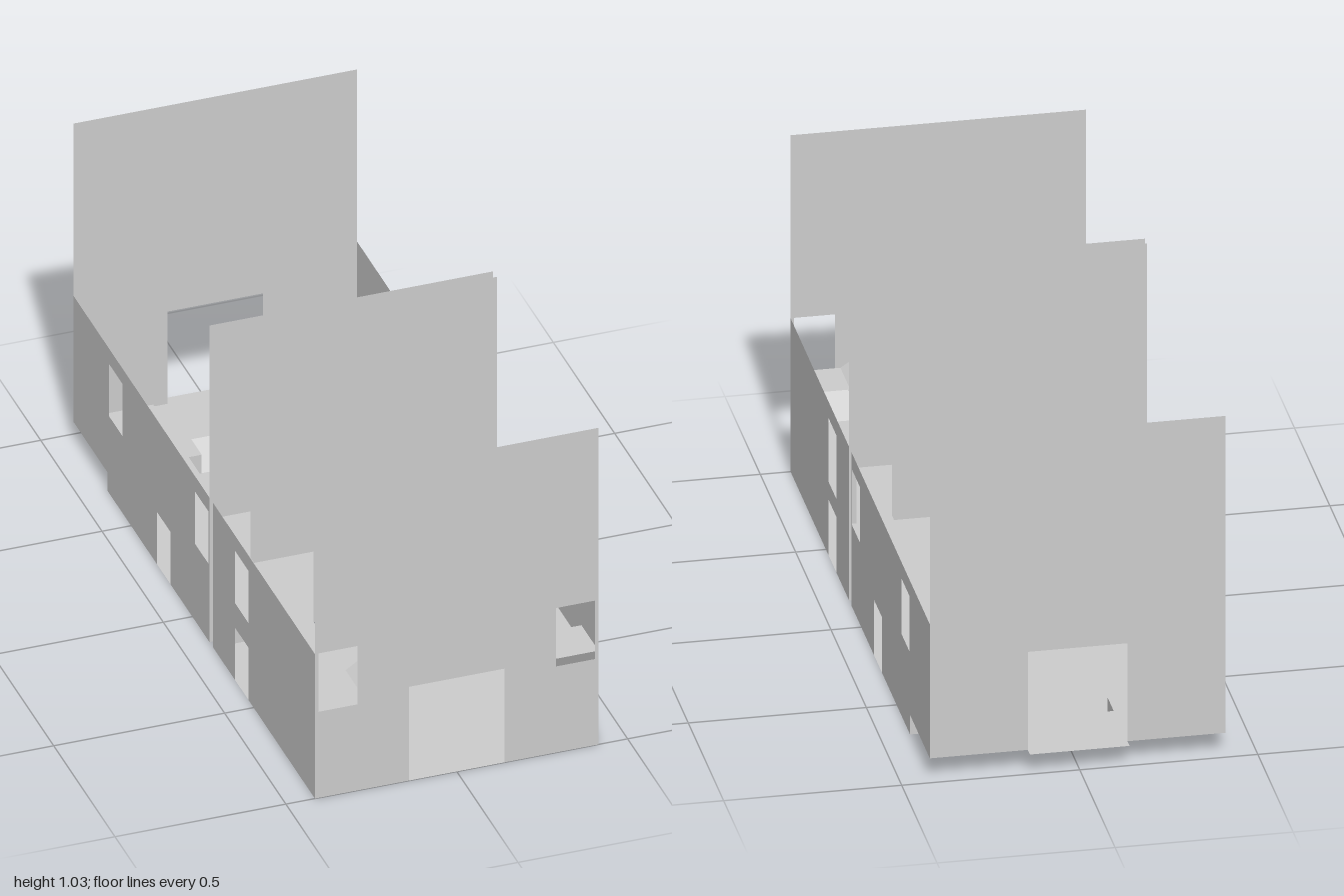
import * as THREE from 'three';

const material = new THREE.MeshStandardMaterial({ color: 0xcccccc, side: THREE.DoubleSide });
const HALF = 0.415, LEDGE = 0.28, SIDE = 0.47, TALL = 1.03, GALLERY = 0.25, CORNER = 0.305, BRIDGE = 0.358, RAISED = 0.06;

// Flat sheet from an outline with rectangular holes [u0, u1, v0, v1]
function sheet(points, holes = []) {
  const shape = new THREE.Shape(points.map(([u, v]) => new THREE.Vector2(u, v)));
  for (const [a, b, c, d] of holes) {
    shape.holes.push(new THREE.Path([[a, c], [a, d], [b, d], [b, c]].map(([u, v]) => new THREE.Vector2(u, v))));
  }
  return new THREE.ShapeGeometry(shape);
}

// Wall outline: top corners plus a bottom edge stepped around doors [u0, u1, top]
function outline(u0, u1, base, top, doors = []) {
  const points = [[u0, base]];
  for (const [a, b, h] of doors) points.push([a, base], [a, h], [b, h], [b, base]);
  return [...points, [u1, base], [u1, top], [u0, top]];
}

// Four-cornered sloping face
function quad(a, b, c, d) {
  const g = new THREE.BufferGeometry();
  g.setAttribute('position', new THREE.Float32BufferAttribute([a, b, c, a, c, d].flat(), 3));
  g.computeVertexNormals();
  return g;
}

export function createModel() {
  const model = new THREE.Group();
  const add = (name, geometry) => {
    const mesh = new THREE.Mesh(geometry, material);
    mesh.name = name;
    model.add(mesh);
  };
  const crossWall = (name, z, points, holes) => add(name, sheet(points, holes).translate(0, 0, z));
  const sideWall = (name, x, points, holes) =>
    add(name, sheet(points, holes).rotateY(x > 0 ? Math.PI / 2 : -Math.PI / 2).translate(x, 0, 0));
  const floor = (name, y, points) =>
    add(name, sheet(points.map(([x, z]) => [x, -z])).rotateX(-Math.PI / 2).translate(0, y, 0));
  const rect = (x0, x1, z0, z1) => [[x0, z0], [x0, z1], [x1, z1], [x1, z0]];

  // Tall cross walls
  crossWall('frontWall', 1, outline(-HALF, HALF, 0, TALL, [[-0.14, 0.14, CORNER]]),
    [[-0.405, -0.29, 0.28, SIDE], [0.29, 0.405, 0.28, SIDE]]);
  for (const [name, z] of [['frontMiddleWall', 0.17], ['backMiddleWall', 0.14]]) {
    crossWall(name, z, outline(-HALF, HALF, 0, TALL, [[-0.28, -0.11, GALLERY], [0.11, 0.28, GALLERY]]),
      [[-0.4, -0.295, GALLERY, 0.42], [0.295, 0.4, GALLERY, 0.42]]);
  }
  crossWall('backWall', -0.97, outline(-HALF, HALF, RAISED, TALL, [[-0.14, 0.14, 0.36]]));

  // Low side walls with doors and windows
  for (const s of [-1, 1]) {
    const label = s > 0 ? 'left' : 'right';
    const mirror = (pts) => pts.map(([z, y]) => [-s * z, y]);
    const mirrorHoles = (hs) => hs.map(([a, b, c, d]) => [-s * a, -s * b, c, d]);
    sideWall(label + 'FrontSideWall', s * HALF,
      mirror(outline(0.17, 1, 0, SIDE, [[0.35, 0.46, 0.17]])),
      mirrorHoles([[0.35, 0.46, s > 0 ? 0.225 : GALLERY, 0.42]]));
    const back = outline(-0.69, 0.14, 0, SIDE, [[-0.29, -0.18, 0.17]]);
    back.pop();
    sideWall(label + 'BackSideWall', s * HALF,
      mirror([...back, [-0.97, SIDE], [-0.97, RAISED], [-0.69, RAISED]]),
      mirrorHoles([[0.02, 0.13, GALLERY, 0.42], [-0.68, -0.57, GALLERY, 0.42]]));
  }

  // Ground floors, joined by two door sills
  floor('frontGroundFloor', 0, rect(-HALF, HALF, 0.17, 1));
  floor('backGroundFloor', 0, rect(-HALF, HALF, -0.69, 0.14));

  // Raised back floor, notched for the entry ramp, with an outside sill
  floor('raisedFloor', RAISED, [[-HALF, -0.69], [-0.14, -0.69], [-0.14, -0.775], [0.14, -0.775], [0.14, -0.69],
    [HALF, -0.69], [HALF, -0.97], [0.14, -0.97], [0.14, -1], [-0.14, -1], [-0.14, -0.97], [-HALF, -0.97]]);
  add('entryRamp', quad([-0.14, 0, -0.69], [0.14, 0, -0.69], [0.14, RAISED, -0.775], [-0.14, RAISED, -0.775]));
  floor('rampBase', 0, rect(-0.14, 0.14, -0.775, -0.69));
  crossWall('rampBack', -0.775, outline(-0.14, 0.14, 0, RAISED));

  for (const s of [-1, 1]) {
    const label = s > 0 ? 'left' : 'right';
    const strip = (a, b, z0, z1) => rect(Math.min(s * a, s * b), Math.max(s * a, s * b), z0, z1);
    crossWall(label + 'Riser', -0.69, outline(Math.min(s * 0.14, s * HALF), Math.max(s * 0.14, s * HALF), 0, RAISED));
    add(label + 'RampSide', quad([s * 0.14, 0, -0.69], [s * 0.14, 0, -0.775], [s * 0.14, RAISED, -0.775], [s * 0.14, RAISED, -0.69]));
    floor(label + 'DoorSill', 0, strip(0.11, 0.28, 0.14, 0.17));

    // Upper galleries and the link between the two halves
    floor(label + 'GalleryLink', GALLERY, strip(0.295, 0.4, 0.14, 0.17));
    floor(label + 'FrontGallery', GALLERY, strip(LEDGE, HALF, 0.17, 0.78));

    // Ramp up to the front corner, then up to the bridge over the front door
    add(label + 'GalleryRamp', quad([s * LEDGE, GALLERY, 0.78], [s * LEDGE, CORNER, 0.86],
      [s * HALF, CORNER, 0.86], [s * HALF, GALLERY, 0.78]));
    floor(label + 'CornerLanding', CORNER, strip(0.275, HALF, 0.86, 1));
    add(label + 'BridgeRamp', quad([s * 0.195, BRIDGE, 0.86], [s * 0.195, BRIDGE, 1],
      [s * 0.275, CORNER, 1], [s * 0.275, CORNER, 0.86]));
  }
  floor('frontBridge', BRIDGE, rect(-0.195, 0.195, 0.86, 1));

  // Back galleries: one whole, one broken with ragged curved ends
  floor('leftBackGallery', GALLERY, rect(LEDGE, HALF, -0.695, 0.14));
  const ragged = (pts) => new THREE.SplineCurve(pts.map(([x, z]) => new THREE.Vector2(x, z))).getPoints(16).map((p) => [p.x, p.y]);
  floor('rightBackGalleryRear', GALLERY, [[-LEDGE, -0.695], [-HALF, -0.695],
    ...ragged([[-HALF, -0.205], [-0.39, -0.225], [-0.375, -0.265], [-0.355, -0.283], [-0.33, -0.277], [-LEDGE, -0.3]])]);
  floor('rightBackGalleryFore', GALLERY, [[-LEDGE, 0.14], [-HALF, 0.14],
    ...ragged([[-HALF, -0.07], [-0.38, -0.085], [-0.345, -0.1], [-0.31, -0.085], [-LEDGE, -0.055]])]);

  return model;
}
